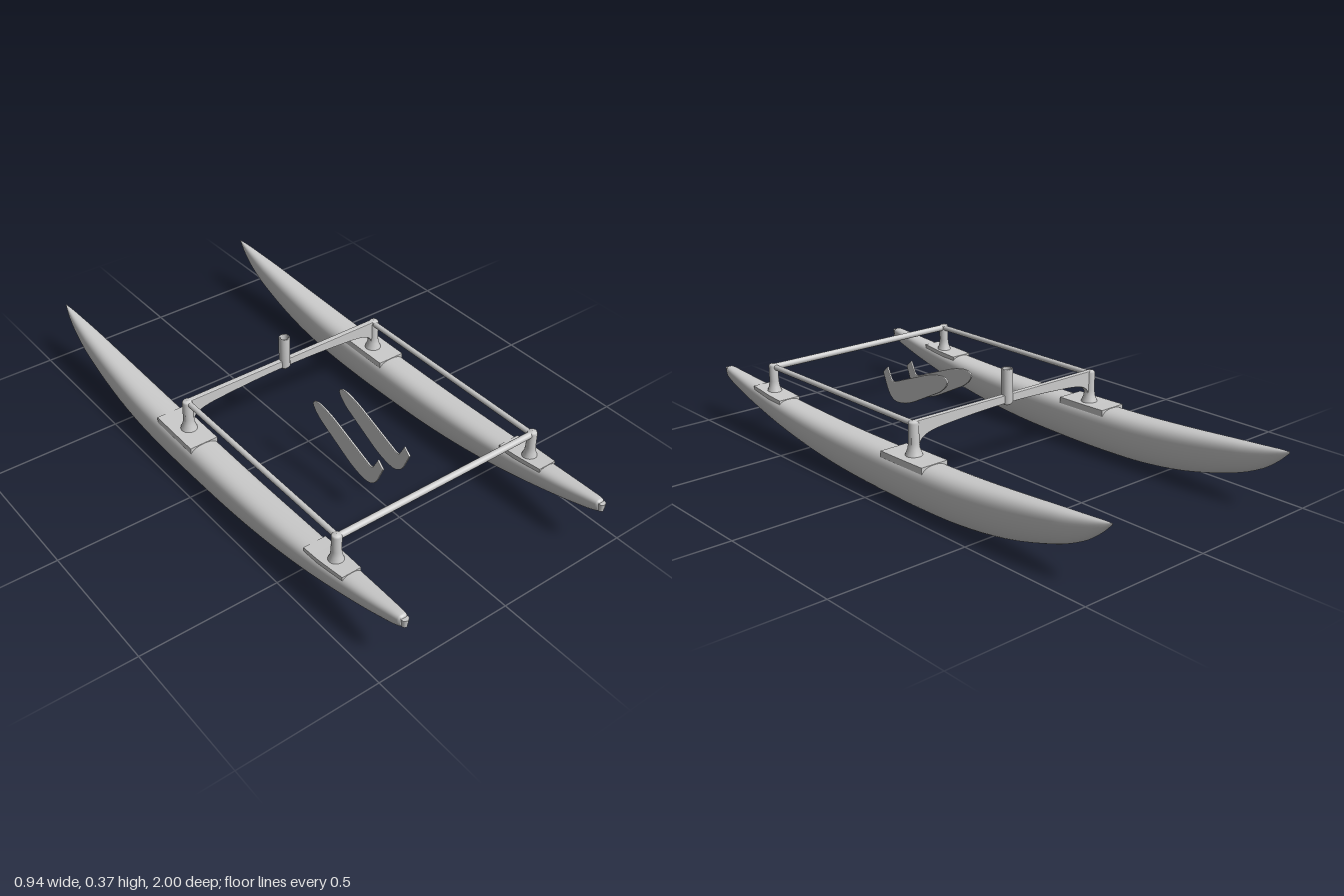
import * as THREE from 'three';

const material = new THREE.MeshStandardMaterial({ color: 0xcccccc, side: THREE.DoubleSide });

function add(parent, name, geometry, x = 0, y = 0, z = 0) {
  const mesh = new THREE.Mesh(geometry, material);
  mesh.name = name;
  mesh.position.set(x, y, z);
  parent.add(mesh);
  return mesh;
}

// Hull stations: z, deck height, keel height, half width
const stations = [
  [-1, 0.22, 0.214, 0.001], [-0.96, 0.217, 0.175, 0.012], [-0.9, 0.211, 0.132, 0.023],
  [-0.8, 0.202, 0.088, 0.036], [-0.6, 0.185, 0.034, 0.051], [-0.4, 0.172, 0.008, 0.06],
  [-0.2, 0.166, 0.001, 0.0625], [0, 0.164, 0.003, 0.0625], [0.2, 0.163, 0.011, 0.0615],
  [0.4, 0.167, 0.031, 0.0585], [0.6, 0.176, 0.063, 0.051], [0.8, 0.19, 0.106, 0.037],
  [0.93, 0.201, 0.14, 0.024], [0.975, 0.204, 0.156, 0.018], [0.985, 0.2, 0.162, 0.013],
];

// Smooth interpolation of one station column at a given z
function station(z, col) {
  let i = 0;
  while (i < stations.length - 2 && stations[i + 1][0] < z) i++;
  const at = (k) => stations[Math.min(Math.max(k, 0), stations.length - 1)];
  const [p0, p1, p2, p3] = [at(i - 1), at(i), at(i + 1), at(i + 2)];
  const h = p2[0] - p1[0], t = (z - p1[0]) / h;
  const m1 = (p2[col] - p0[col]) / (p2[0] - p0[0]) * h;
  const m2 = (p3[col] - p1[col]) / (p3[0] - p1[0]) * h;
  const t2 = t * t, t3 = t2 * t;
  return (2 * t3 - 3 * t2 + 1) * p1[col] + (t3 - 2 * t2 + t) * m1
    + (3 * t2 - 2 * t3) * p2[col] + (t3 - t2) * m2;
}

const hullX = (z, side) => side * (0.403 + 0.005 * station(z, 3) / 0.0625);

function hullGeometry(side) {
  const zs = [];
  for (let i = 0; i < stations.length - 1; i++) {
    for (let k = 0; k < 4; k++) zs.push(THREE.MathUtils.lerp(stations[i][0], stations[i + 1][0], k / 4));
  }
  zs.push(stations.at(-1)[0]);
  const N = 40, pos = [], index = [];
  for (const z of zs) {
    const top = station(z, 1), bottom = station(z, 2), w = station(z, 3);
    const mid = bottom + (top - bottom) * 0.63;
    for (let j = 0; j < N; j++) {
      const a = j / N * Math.PI * 2, c = Math.cos(a), s = Math.sin(a);
      const p = s > 0 ? 0.78 : 0.96;
      pos.push(
        hullX(z, side) + w * Math.sign(c) * Math.abs(c) ** p,
        mid + (s > 0 ? (top - mid) * s ** p : (mid - bottom) * s), z);
    }
  }
  for (let i = 0; i < zs.length - 1; i++) {
    for (let j = 0; j < N; j++) {
      const a = i * N + j, b = i * N + (j + 1) % N;
      index.push(a, b, a + N, b, b + N, a + N);
    }
  }
  // blunt end cap
  const last = (zs.length - 1) * N, centre = pos.length / 3;
  pos.push(hullX(0.985, side), 0.183, 0.987);
  for (let j = 0; j < N; j++) index.push(centre, last + j, last + (j + 1) % N);
  const g = new THREE.BufferGeometry();
  g.setAttribute('position', new THREE.Float32BufferAttribute(pos, 3));
  g.setIndex(index);
  g.computeVertexNormals();
  return g;
}

// Thin pad following the deck, between two z values
function padGeometry(side, z0, z1, half) {
  const g = new THREE.BoxGeometry(1, 1, 1, 1, 1, 8).toNonIndexed();
  const p = g.attributes.position;
  for (let i = 0; i < p.count; i++) {
    const z = THREE.MathUtils.lerp(z0, z1, p.getZ(i) + 0.5);
    const w = Math.min(half, station(z, 3) * 0.86);
    p.setXYZ(i, hullX(z, side) + p.getX(i) * 2 * w,
      station(z, 1) + (p.getY(i) > 0 ? 0.002 : -0.022), z);
  }
  g.computeVertexNormals();
  return g;
}

// Upright with a flared foot
function postGeometry(foot, top, r) {
  const profile = [[r * 1.75, foot - 0.012], [r * 1.5, foot + 0.004], [r * 1.15, foot + 0.02],
    [r, foot + 0.04], [r, top - 0.008], [r * 0.8, top - 0.002], [0, top]];
  return new THREE.LatheGeometry(profile.map(([x, y]) => new THREE.Vector2(x, y)), 24);
}

function bar(a, b, r) {
  return new THREE.TubeGeometry(new THREE.LineCurve3(a, b), 1, r, 16);
}

// Front beam: flat top, underside arched into the uprights
function frontBeamGeometry() {
  const s = new THREE.Shape();
  s.moveTo(-0.395, 0.28);
  s.lineTo(0.395, 0.28);
  s.quadraticCurveTo(0.415, 0.28, 0.416, 0.262);
  s.lineTo(0.418, 0.195);
  s.lineTo(0.389, 0.195);
  s.bezierCurveTo(0.385, 0.242, 0.32, 0.242, 0.2, 0.25);
  s.quadraticCurveTo(0.1, 0.256, 0, 0.256);
  s.quadraticCurveTo(-0.1, 0.256, -0.2, 0.25);
  s.bezierCurveTo(-0.32, 0.242, -0.385, 0.242, -0.389, 0.195);
  s.lineTo(-0.418, 0.195);
  s.lineTo(-0.416, 0.262);
  s.quadraticCurveTo(-0.415, 0.28, -0.395, 0.28);
  return new THREE.ExtrudeGeometry(s, {
    depth: 0.01, bevelEnabled: true, bevelThickness: 0.005, bevelSize: 0.003,
    bevelSegments: 3, curveSegments: 14,
  }).translate(0, 0, -0.005);
}

// Hooked blade drawn in the z-y plane
function bladeGeometry() {
  const s = new THREE.Shape();
  s.moveTo(0.115, 0.27);
  s.quadraticCurveTo(0.115, 0.285, 0.15, 0.286);
  s.quadraticCurveTo(0.2, 0.28, 0.25, 0.26);
  s.lineTo(0.41, 0.2);
  s.quadraticCurveTo(0.432, 0.195, 0.438, 0.212);
  s.lineTo(0.455, 0.245);
  s.lineTo(0.478, 0.225);
  s.lineTo(0.455, 0.17);
  s.quadraticCurveTo(0.435, 0.13, 0.4, 0.129);
  s.quadraticCurveTo(0.35, 0.13, 0.29, 0.16);
  s.lineTo(0.16, 0.225);
  s.quadraticCurveTo(0.12, 0.25, 0.115, 0.27);
  return new THREE.ExtrudeGeometry(s, {
    depth: 0.002, bevelEnabled: true, bevelThickness: 0.003, bevelSize: 0.003,
    bevelSegments: 2, curveSegments: 8,
  }).translate(0, 0, -0.001).rotateY(-Math.PI / 2);
}

export function createModel() {
  const model = new THREE.Group();
  model.name = 'catamaran';
  const frontZ = -0.14, rearZ = 0.672;

  for (const side of [1, -1]) {
    const half = new THREE.Group();
    half.name = side > 0 ? 'leftSide' : 'rightSide';
    model.add(half);
    add(half, 'hull', hullGeometry(side));
    add(half, 'frontDeckPad', padGeometry(side, -0.25, -0.04, 0.053));
    add(half, 'rearDeckPad', padGeometry(side, 0.57, 0.75, 0.042));

    // rudder fitting on the blunt end
    add(half, 'endFitting', new THREE.CylinderGeometry(0.013, 0.009, 0.03, 12), side * 0.404, 0.181, 0.987);

    add(half, 'frontPost', postGeometry(0.17, 0.283, 0.018), side * 0.403, 0, frontZ);
    add(half, 'rearPost', postGeometry(0.18, 0.284, 0.017), side * 0.403, 0, rearZ);
    add(half, 'sideRail', bar(
      new THREE.Vector3(side * 0.4, 0.271, frontZ), new THREE.Vector3(side * 0.4, 0.271, rearZ), 0.01));
  }

  add(model, 'frontBeam', frontBeamGeometry(), 0, 0, frontZ);
  add(model, 'rearBeam', bar(
    new THREE.Vector3(-0.403, 0.271, rearZ), new THREE.Vector3(0.403, 0.271, rearZ), 0.0115));

  // hollow mast stub
  const mast = [[0.014, 0.3], [0.014, 0.372], [0.018, 0.374], [0.02, 0.371], [0.02, 0.255], [0.012, 0.246], [0, 0.245]];
  add(model, 'mastStub', new THREE.LatheGeometry(
    mast.map(([x, y]) => new THREE.Vector2(x, y)).reverse(), 24), 0, 0, frontZ);

  for (const x of [-0.063, 0.048]) add(model, 'rudderBlade', bladeGeometry(), x);
  return model;
}
